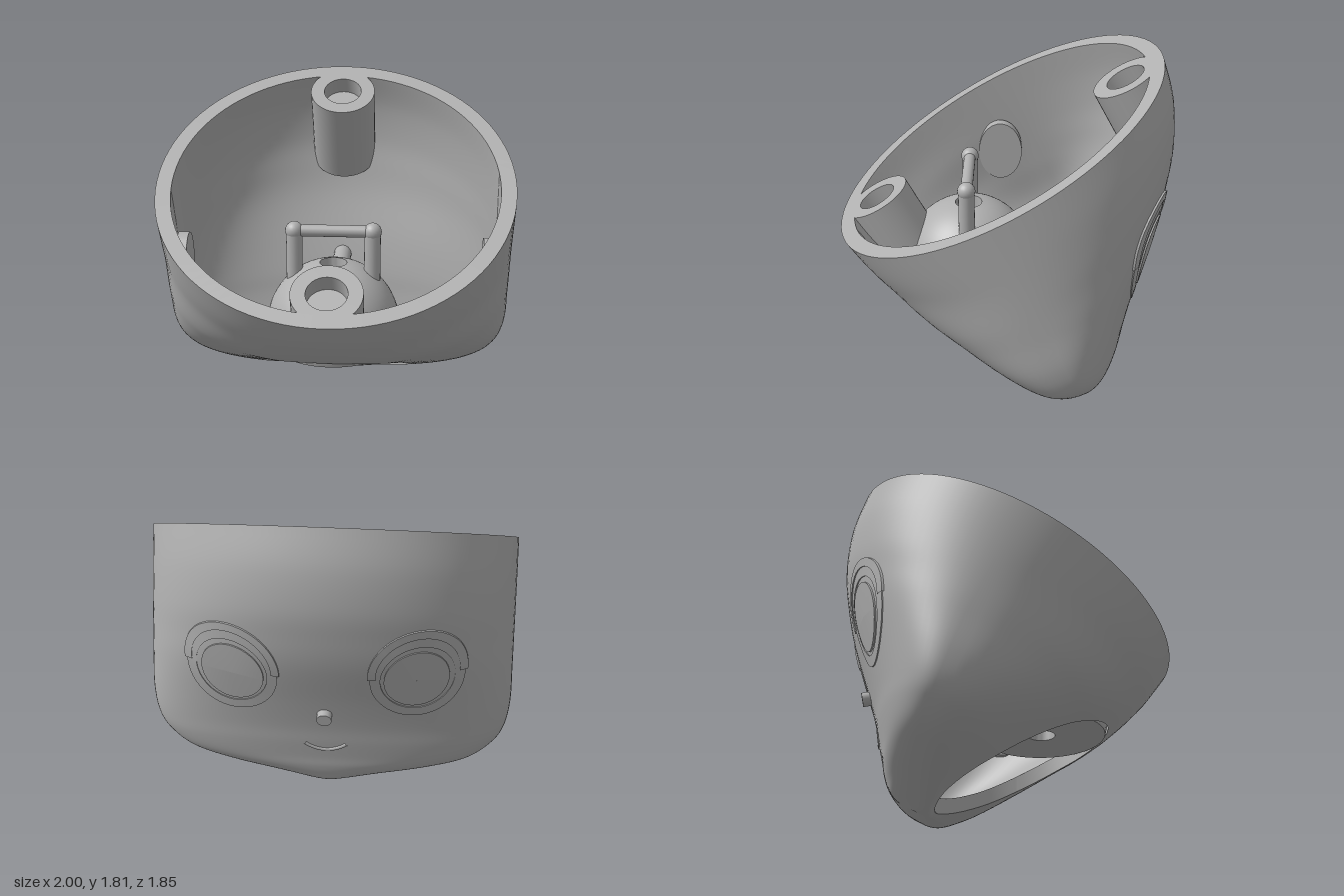
import * as THREE from 'three';
import { mergeVertices, toCreasedNormals } from 'three/addons/utils/BufferGeometryUtils.js';

const grey = new THREE.MeshStandardMaterial({ color: 0xb0b0b0, side: THREE.DoubleSide });
grey.name = 'plain grey';

const TILT = 0.497, CY = 1.34, CZ = 0.035; // tilted rim plane
const HOLE = { x: 0.43, z: 0.475, cz: 0.095 }; // neck opening seen from above
const WALL = 0.087;

// Shell sections: depth below rim, half width, front edge, back edge
const SECTIONS = [
  [0, 1, -1.007, 1.007], [0.2, 1, -0.975, 0.965], [0.4, 1, -0.91, 0.875], [0.55, 1, -0.83, 0.77],
  [0.7, 1, -0.72, 0.645], [0.9, 1, -0.572, 0.44], [1.05, 0.97, -0.465, 0.295], [1.15, 0.9, -0.39, 0.212],
  [1.24, 0.77, -0.325, 0.135], [1.3, 0.56, -0.285, 0.088], [1.35, 0.3, -0.26, 0.035],
  [1.39, 0.1, -0.235, -0.03], [1.41, 0, -0.17, -0.17],
];

function named(name, geometry) {
  const mesh = new THREE.Mesh(geometry, grey);
  mesh.name = name;
  return mesh;
}

// x across, u backward along the rim plane, w depth below it
function toWorld(x, u, w) {
  const c = Math.cos(TILT), s = Math.sin(TILT);
  return new THREE.Vector3(x, CY + s * u - c * w, CZ - c * u - s * w);
}

// Surface from a rule, with faces along j x i
function grid(ni, nj, point, flip = false) {
  const pos = [], index = [];
  for (let i = 0; i <= ni; i++) for (let j = 0; j <= nj; j++) pos.push(...point(i / ni, j).toArray());
  for (let i = 0; i < ni; i++) for (let j = 0; j < nj; j++) {
    const a = i * (nj + 1) + j, b = a + 1, c = a + nj + 1, d = c + 1;
    if (flip) index.push(a, c, b, b, c, d);
    else index.push(a, b, c, b, d, c);
  }
  const geo = new THREE.BufferGeometry();
  geo.setAttribute('position', new THREE.Float32BufferAttribute(pos, 3));
  geo.setIndex(index);
  geo.computeVertexNormals();
  return geo;
}

// One skin of the shell, drawn in by an inset that thins with depth
function skin(wall, flip) {
  const curve = [1, 2, 3].map(k => new THREE.SplineCurve(SECTIONS.map(s => new THREE.Vector2(s[0], s[k]))));
  const rows = 72;
  return grid(96, rows, (t, j) => {
    const [a, f, b] = curve.map(c => c.getPoint(j / rows));
    const ang = t * Math.PI * 2, c = Math.cos(ang), s = Math.sin(ang);
    const inset = wall * (1 - 0.35 * a.x / 1.4);
    const half = Math.max((b.y - f.y) / 2 - inset, 0), mid = (b.y + f.y) / 2;
    // the front underside gets squarer toward the cheeks
    const e = s < 0 ? 2 / (2 + 0.8 * THREE.MathUtils.smoothstep(a.x, 0.3, 1)) : 1;
    const round = v => Math.sign(v) * Math.abs(v) ** e;
    return toWorld(Math.max(a.y - inset, 0) * round(c), mid + half * round(s), a.x * (1 - inset / 1.4));
  }, flip);
}

// Remove everything inside the neck opening
function cutNeck(geo) {
  const src = geo.toNonIndexed().attributes.position, out = [];
  const f = p => (p.x / HOLE.x) ** 2 + ((p.z - HOLE.cz) / HOLE.z) ** 2 - 1;
  for (let i = 0; i < src.count; i += 3) {
    const tri = [0, 1, 2].map(k => new THREE.Vector3().fromBufferAttribute(src, i + k));
    const poly = [];
    tri.forEach((p, k) => {
      const q = tri[(k + 1) % 3], fp = f(p), fq = f(q);
      if (fp >= 0) poly.push(p);
      if ((fp >= 0) !== (fq >= 0)) poly.push(p.clone().lerp(q, fp / (fp - fq)));
    });
    for (let k = 1; k + 1 < poly.length; k++) {
      for (const p of [poly[0], poly[k], poly[k + 1]]) out.push(p.x, p.y, p.z);
    }
  }
  const cut = new THREE.BufferGeometry();
  cut.setAttribute('position', new THREE.Float32BufferAttribute(out, 3));
  const merged = mergeVertices(cut, 1e-4);
  merged.computeVertexNormals();
  return merged;
}

function cast(mesh, origin, dir) {
  const hit = new THREE.Raycaster(origin, dir).intersectObject(mesh)[0];
  return hit ? hit.point : origin.clone().setY(0.3);
}

// Socket post, trimmed so it stays inside the wall (side 1 is the back)
function socketPost(side) {
  const pts = [[0, -0.53]];
  for (let k = 0; k <= 10; k++) pts.push([0.19, -0.53 + 0.053 * k]);
  pts.push([0.11, 0], [0.11, -0.1], [0, -0.1]);
  const geo = new THREE.LatheGeometry(pts.map(p => new THREE.Vector2(...p)), 40);
  const p = geo.attributes.position, col = side > 0 ? 3 : 2;
  for (let i = 0; i < p.count; i++) {
    const w = -p.getY(i);
    let k = 0;
    while (k < 3 && SECTIONS[k + 1][0] < w) k++;
    const [A, B] = [SECTIONS[k], SECTIONS[k + 1]];
    const t = (w - A[0]) / (B[0] - A[0]);
    const reach = Math.abs(A[col] + (B[col] - A[col]) * t) - 0.04;
    const limit = reach * Math.sqrt(1 - p.getX(i) ** 2);
    p.setZ(i, -side * Math.min(0.78 - p.getZ(i) * side, limit));
  }
  return toCreasedNormals(geo, 0.6);
}

export function createModel() {
  const group = new THREE.Group();
  const outer = skin(0, false), inner = skin(WALL, true);
  const probeOut = new THREE.Mesh(outer, grey), probeIn = new THREE.Mesh(inner, grey);

  // Hollow shell with a neck opening
  group.add(named('outerShell', cutNeck(outer)), named('innerShell', cutNeck(inner)));
  const up = new THREE.Vector3(0, 1, 0);
  group.add(named('neckEdge', grid(72, 1, (t, j) => {
    const a = t * Math.PI * 2;
    const from = new THREE.Vector3(HOLE.x * Math.cos(a), -1, HOLE.cz + HOLE.z * Math.sin(a));
    return cast(j ? probeIn : probeOut, from, up);
  }, true)));

  // Rim and socket posts in the tilted frame
  const frame = new THREE.Group();
  frame.name = 'rimFrame';
  frame.position.set(0, CY, CZ);
  frame.rotation.x = TILT;
  const rim = named('rim', new THREE.RingGeometry(1 - WALL, 1, 96));
  rim.rotation.x = -Math.PI / 2;
  rim.scale.y = 1.007;
  frame.add(rim, named('frontSocket', socketPost(-1)), named('backSocket', socketPost(1)));
  group.add(frame);

  // Bored dome above the neck
  const dome = [new THREE.Vector2(0.075, 0.47), new THREE.Vector2(0.353, 0.47)];
  for (let k = 0; k <= 20; k++) {
    const a = -0.28 + (1.366 + 0.28) * k / 20;
    dome.push(new THREE.Vector2(0.37 * Math.cos(a), 0.58 + 0.37 * Math.sin(a)));
  }
  dome.push(new THREE.Vector2(0.075, 0.47));
  const ball = named('dome', toCreasedNormals(new THREE.LatheGeometry(dome, 48), 0.6));
  ball.position.z = 0.2;
  group.add(ball);

  // Handle: two posts with round tops and a crossbar
  for (const x of [-0.215, 0.215]) {
    const post = named('handlePost', new THREE.CylinderGeometry(0.045, 0.045, 0.3, 20));
    post.position.set(x, 0.98, 0.2);
    const knob = named('handleKnob', new THREE.SphereGeometry(0.05, 20, 14));
    knob.position.set(x, 1.125, 0.2);
    group.add(post, knob);
  }
  const bar = named('handleBar', new THREE.CylinderGeometry(0.033, 0.033, 0.43, 20));
  bar.rotation.z = Math.PI / 2;
  bar.position.set(0, 1.125, 0.2);
  group.add(bar);

  // Rod from the dome to the face wall
  const rod = named('backRod', new THREE.CylinderGeometry(0.055, 0.055, 0.64, 20));
  rod.rotation.x = Math.PI / 2;
  rod.position.set(0, 0.665, -0.4);
  group.add(rod);

  // Side pads inside the wall
  for (const s of [-1, 1]) {
    const pad = named('sidePad', new THREE.CylinderGeometry(1, 1, 0.06, 36));
    pad.scale.set(0.19, 1, 0.135);
    pad.rotation.z = Math.PI / 2;
    pad.position.set(s * 0.86, 0.85, 0.04);
    group.add(pad);
  }

  // Face relief laid on the back of the shell
  const ahead = new THREE.Vector3(0, 0, 1);
  const onFace = (x, y, lift) => {
    const p = cast(probeOut, new THREE.Vector3(x, y, -2), ahead);
    p.z -= lift;
    return p;
  };
  const plate = (name, cx, cy, rOut, rIn, lift, a0 = 0, a1 = Math.PI * 2) => {
    const prof = [[rOut, -0.01], [rOut, lift], [rIn, lift], [rIn, -0.01]];
    const geo = grid(48, 3, (t, j) => {
      const a = a0 + (a1 - a0) * t, [r, h] = prof[j];
      return onFace(cx + r * 0.93 * Math.cos(a), cy + r * 1.05 * Math.sin(a), h);
    });
    group.add(named(name, toCreasedNormals(geo, 0.6)));
  };
  for (const s of [-1, 1]) {
    plate('eyelid', s * 0.48, 0.965, 0.275, 0.23, 0.012, -0.05, Math.PI + 0.05);
    plate('eyeRing', s * 0.48, 0.935, 0.262, 0.205, 0.006);
    plate('iris', s * 0.475, 0.93, 0.18, 0.001, 0.009);
  }

  const nose = named('nose', new THREE.CylinderGeometry(0.04, 0.04, 0.1, 24));
  nose.rotation.x = Math.PI / 2 - 0.2;
  nose.position.copy(onFace(0, 0.665, -0.005));
  group.add(nose);

  const smile = [];
  for (let k = -4; k <= 4; k++) smile.push(onFace(k * 0.028, 0.385 + 0.0028 * k * k, -0.005));
  group.add(named('mouth', new THREE.TubeGeometry(new THREE.CatmullRomCurve3(smile), 32, 0.013, 8)));

  return group;
}
